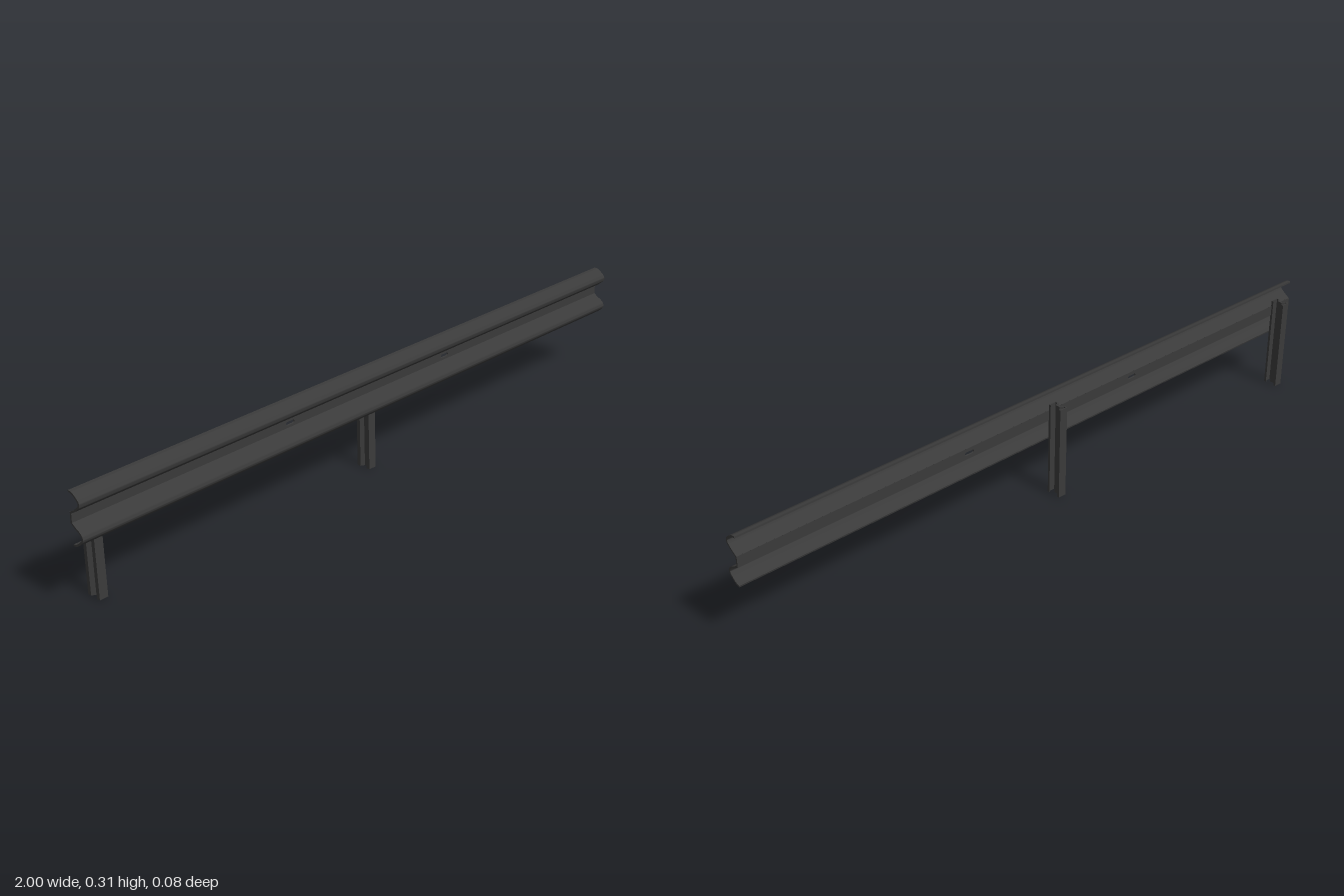
import * as THREE from 'three';
import { toCreasedNormals } from 'three/addons/utils/BufferGeometryUtils.js';

const steel = new THREE.MeshStandardMaterial({ color: 0x3a3a3a, side: THREE.DoubleSide });

// Closed outline of a bent sheet: an open path thickened on both sides with mitred corners
function sheetShape(path, thickness) {
  const p = path.map(([x, y]) => new THREE.Vector2(x, y));
  const normal = (a, b) => new THREE.Vector2(a.y - b.y, b.x - a.x).normalize();
  const left = [], right = [];
  p.forEach((q, i) => {
    const n1 = normal(p[Math.max(i - 1, 0)], p[Math.max(i, 1)]);
    const n2 = i < p.length - 1 ? normal(q, p[i + 1]) : n1;
    const m = n1.clone().add(n2).normalize();
    m.multiplyScalar(thickness / 2 / Math.max(m.dot(n1), 0.5));
    left.push(q.clone().add(m));
    right.unshift(q.clone().sub(m));
  });
  return new THREE.Shape([...left, ...right]);
}

function part(name, shape, depth) {
  const geometry = new THREE.ExtrudeGeometry(shape, { depth, bevelEnabled: false, curveSegments: 8 });
  const mesh = new THREE.Mesh(geometry, steel);
  mesh.name = name;
  return mesh;
}

// One rounded wave of the beam, its cross-section given as [z, y]
function wave(name, section) {
  const curve = new THREE.SplineCurve(section.map(([z, y]) => new THREE.Vector2(z, y)));
  const path = curve.getPoints(28).map((v) => [v.x, v.y]);
  const mesh = part(name, sheetShape(path, 0.005), 2);
  mesh.geometry.translate(0, 0, -1).rotateY(-Math.PI / 2);
  mesh.geometry = toCreasedNormals(mesh.geometry, 0.6);
  return mesh;
}

// Flat strip between the waves, with its two bolt slots
function valleyStrip() {
  const shape = new THREE.Shape([[-1, 0.229], [1, 0.229], [1, 0.259], [-1, 0.259]]
    .map(([x, y]) => new THREE.Vector2(x, y)));
  for (const x of [-0.31, 0.29]) {
    const slot = new THREE.Path();
    slot.moveTo(x - 0.01, 0.239);
    slot.lineTo(x + 0.01, 0.239);
    slot.absarc(x + 0.01, 0.244, 0.005, -Math.PI / 2, Math.PI / 2, false);
    slot.lineTo(x - 0.01, 0.249);
    slot.absarc(x - 0.01, 0.244, 0.005, Math.PI / 2, Math.PI * 1.5, false);
    shape.holes.push(slot);
  }
  const mesh = part('valleyStrip', shape, 0.005);
  mesh.position.z = 0.001;
  return mesh;
}

// Folded sigma-section post, leaning slightly back
function post(name, x) {
  const half = [[0.011, 0.015], [0.011, 0.0205], [-0.011, 0.0205], [-0.011, 0.012], [0, 0.006]];
  const path = [...half, ...half.map(([px, pz]) => [px, -pz]).reverse()];
  const mesh = part(name, sheetShape(path, 0.003), 0.275);
  mesh.geometry.rotateX(-Math.PI / 2);
  mesh.position.set(x, 0.001, -0.0145);
  mesh.rotation.x = -0.02;
  return mesh;
}

export function createModel() {
  const model = new THREE.Group();
  model.name = 'guardRail';

  const beam = new THREE.Group();
  beam.name = 'beam';
  beam.add(
    wave('upperWave', [[0.001, 0.312], [0.012, 0.311], [0.024, 0.304], [0.035, 0.294],
      [0.036, 0.284], [0.028, 0.275], [0.014, 0.264], [0.003, 0.257]]),
    wave('lowerWave', [[0.003, 0.231], [0.016, 0.222], [0.031, 0.214], [0.039, 0.205],
      [0.039, 0.196], [0.03, 0.186], [0.018, 0.177], [0.005, 0.173]]),
    valleyStrip(),
  );
  model.add(beam, post('endPost', -0.93), post('middlePost', -0.005));
  return model;
}
